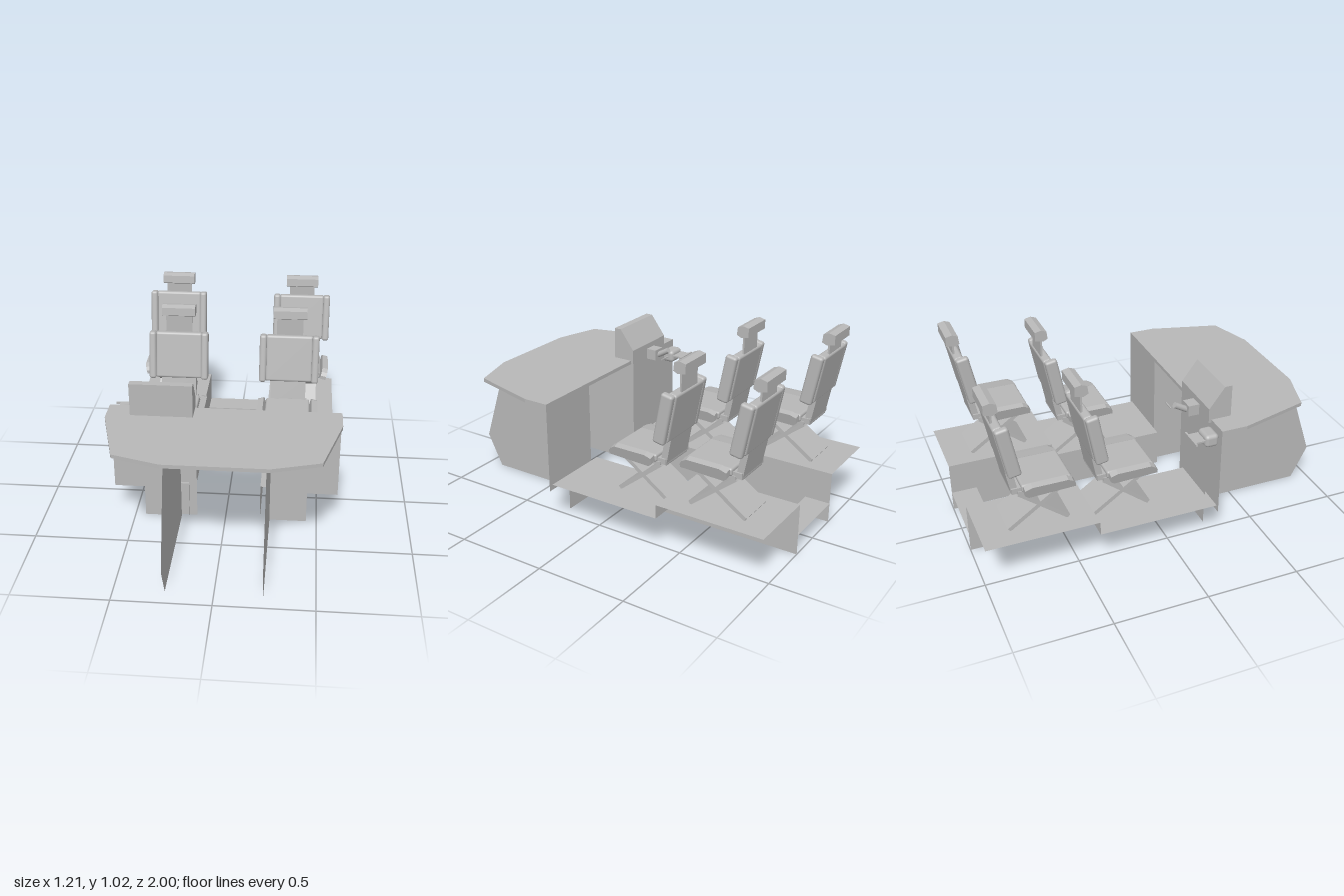
import * as THREE from 'three';
import { RoundedBoxGeometry } from 'three/addons/geometries/RoundedBoxGeometry.js';

const grey = new THREE.MeshStandardMaterial({ color: 0xb8b8b8, side: THREE.DoubleSide });
grey.name = 'plain grey';

const shapeOf = pts => new THREE.Shape(pts.map(p => new THREE.Vector2(p[0], p[1])));

function add(parent, name, geo, x = 0, y = 0, z = 0, rx = 0, rz = 0) {
  const m = new THREE.Mesh(geo, grey);
  m.name = name;
  m.position.set(x, y, z);
  m.rotation.set(rx, 0, rz);
  parent.add(m);
  return m;
}
const box = (w, h, d) => new THREE.BoxGeometry(w, h, d);

// Flat sheets: points are (x,y), (z,y) or (x,z)
const sheetXY = pts => new THREE.ShapeGeometry(shapeOf(pts));
const sheetZY = pts => new THREE.ShapeGeometry(shapeOf(pts)).rotateY(-Math.PI / 2);
const sheetXZ = pts => new THREE.ShapeGeometry(shapeOf(pts)).rotateX(Math.PI / 2);
const rect = (a, b, c, d) => [[a, b], [c, b], [c, d], [a, d]];

// Side profile (z,y) extruded across x, centred on x = 0
function prism(pts, width) {
  return new THREE.ExtrudeGeometry(shapeOf(pts), { depth: width, bevelEnabled: false })
    .translate(0, 0, -width / 2).rotateY(-Math.PI / 2);
}

// Slanted plate between two (z,y) points
function strut(parent, name, a, b, width, thick) {
  const dz = b[0] - a[0], dy = b[1] - a[1];
  add(parent, name, box(width, Math.hypot(dz, dy), thick),
    0, (a[1] + b[1]) / 2, (a[0] + b[0]) / 2, Math.atan2(dz, dy));
}

// Seat: origin on the floor, z as for the front row
function makeSeat(headDrop) {
  const s = new THREE.Group();
  s.name = 'seat';
  // crossed legs and seat pan
  strut(s, 'crossLeg', [-0.08, 0.005], [-0.33, 0.205], 0.21, 0.022);
  strut(s, 'crossLeg', [-0.39, 0.005], [-0.10, 0.205], 0.21, 0.022);
  add(s, 'seatPan', box(0.23, 0.018, 0.25), 0, 0.217, -0.21);
  add(s, 'cushion', new RoundedBoxGeometry(0.25, 0.042, 0.255, 3, 0.012), 0, 0.243, -0.19);
  // back hinge
  add(s, 'hinge', box(0.22, 0.03, 0.06), 0, 0.23, -0.335);
  strut(s, 'backBracket', [-0.345, 0.21], [-0.375, 0.37], 0.2, 0.035);

  // leaning back with side bolsters
  const back = new THREE.Group();
  back.name = 'backrest';
  back.position.set(0, 0.485, -0.382);
  back.rotation.x = -0.19;
  s.add(back);
  add(back, 'backCushion', new RoundedBoxGeometry(0.27, 0.27, 0.05, 3, 0.014), 0, 0, -0.008);

  const bolster = prism([[-0.107, 0], [-0.127, 0.018], [-0.127, 0.052], [-0.09, 0.066],
    [0.09, 0.066], [0.117, 0.05], [0.13, 0.03], [0.13, 0.01]], 0.034);
  for (const side of [-1, 1]) {
    add(back, 'backBolster', new RoundedBoxGeometry(0.04, 0.275, 0.068, 3, 0.014), side * 0.15, 0, 0.004);
    add(s, 'cushionBolster', bolster, side * 0.138, 0.212, -0.185, 0, side * -0.25);
  }
  // headrest on its plate
  add(s, 'headrestPlate', box(0.15, 0.13 - headDrop, 0.01), 0, 0.66 - headDrop / 2, -0.427);
  add(s, 'headrest', prism([[-0.465, 0.718], [-0.465, 0.768], [-0.43, 0.776],
    [-0.4, 0.765], [-0.395, 0.722], [-0.42, 0.71]], 0.19), 0, -headDrop, 0);
  return s;
}

export function createModel() {
  const g = new THREE.Group();
  g.name = 'cockpit';

  // stepped floors with inner walls
  for (const [inner, outer] of [[0.19, 0.585], [-0.2, -0.59]]) {
    add(g, 'frontFloor', sheetXZ(rect(inner, -0.41, outer, 0.24)), 0, 0.21, 0);
    add(g, 'rearFloor', sheetXZ(rect(inner, -1, outer, -0.41)), 0, 0.285, 0);
    add(g, 'floorRiser', sheetXY(rect(inner, 0.21, outer, 0.285)), 0, 0, -0.41);
    add(g, 'aisleWall', sheetZY([[0.24, 0], [0.24, 0.21], [-0.41, 0.21],
      [-0.41, 0.285], [-1, 0.285], [-1, 0]]), inner, 0, 0);
  }
  // low step across the back of the aisle
  add(g, 'aisleStep', sheetXZ(rect(-0.2, -1, 0.19, -0.86)), 0, 0.11, 0);
  add(g, 'aisleStepRiser', sheetXY(rect(-0.2, 0, 0.19, 0.11)), 0, 0, -0.86);

  // nose panels and bulkheads
  for (const s of [-1, 1]) {
    add(g, 'nosePanel', sheetZY([[0.24, 0], [0.91, 0], [1, 0.18], [0.84, 0.657], [0.24, 0.657]]), s * 0.243, 0, 0);
    add(g, 'bulkhead', sheetXY([[0.243, 0], [0.443, 0], [0.443, 0.18], [0.607, 0.18],
      [0.607, 0.657], [0.243, 0.657]].map(([x, y]) => [s * x, y])), 0, 0, 0.24);
  }

  // dashboard top
  const half = [[0.607, 0.24], [0.607, 0.38], [0.505, 0.755], [0.26, 0.83]];
  const outline = [...half, ...half.map(([x, z]) => [-x, z]).reverse()];
  add(g, 'dashboard', new THREE.ExtrudeGeometry(shapeOf(outline), { depth: 0.02, bevelEnabled: false })
    .rotateX(Math.PI / 2), 0, 0.677, 0);

  // instrument housing and the panel below it
  add(g, 'instrumentHousing', prism([[0.35, 0.66], [0.35, 0.853], [0.31, 0.853],
    [0.225, 0.74], [0.225, 0.66]], 0.325), -0.32, 0, 0);
  add(g, 'instrumentPanel', sheetXY([[-0.482, 0.7], [-0.158, 0.7], [-0.158, 0],
    [-0.253, 0], [-0.253, 0.19], [-0.482, 0.19]]), 0, 0, 0.225);

  // control lever on the instrument panel
  const lever = new THREE.Group();
  lever.name = 'controlLever';
  lever.position.x = -0.335;
  add(lever, 'leverBase', box(0.07, 0.06, 0.06), 0, 0.68, 0.195);
  add(lever, 'leverGrip', new THREE.CylinderGeometry(0.016, 0.016, 0.08, 16), 0, 0.695, 0.135, -1.05);
  add(lever, 'leverBlade', box(0.065, 0.006, 0.006), 0.055, 0.685, 0.09);
  g.add(lever);

  // side control on the bulkhead
  add(g, 'sideControlBody', new RoundedBoxGeometry(0.105, 0.07, 0.075, 3, 0.02), -0.533, 0.613, 0.2);
  add(g, 'sideControlArm', box(0.09, 0.008, 0.06), -0.533, 0.62, 0.135);
  add(g, 'sideControlHandle', box(0.135, 0.01, 0.01), -0.533, 0.62, 0.105);

  // two rows of seats
  for (const [x, y, z, drop] of [[0.315, 0.21, 0, 0], [-0.322, 0.21, 0, 0],
    [0.375, 0.285, -0.46, 0.045], [-0.378, 0.285, -0.46, 0.045]]) {
    const seat = makeSeat(drop);
    seat.position.set(x, y, z);
    g.add(seat);
  }
  return g;
}
